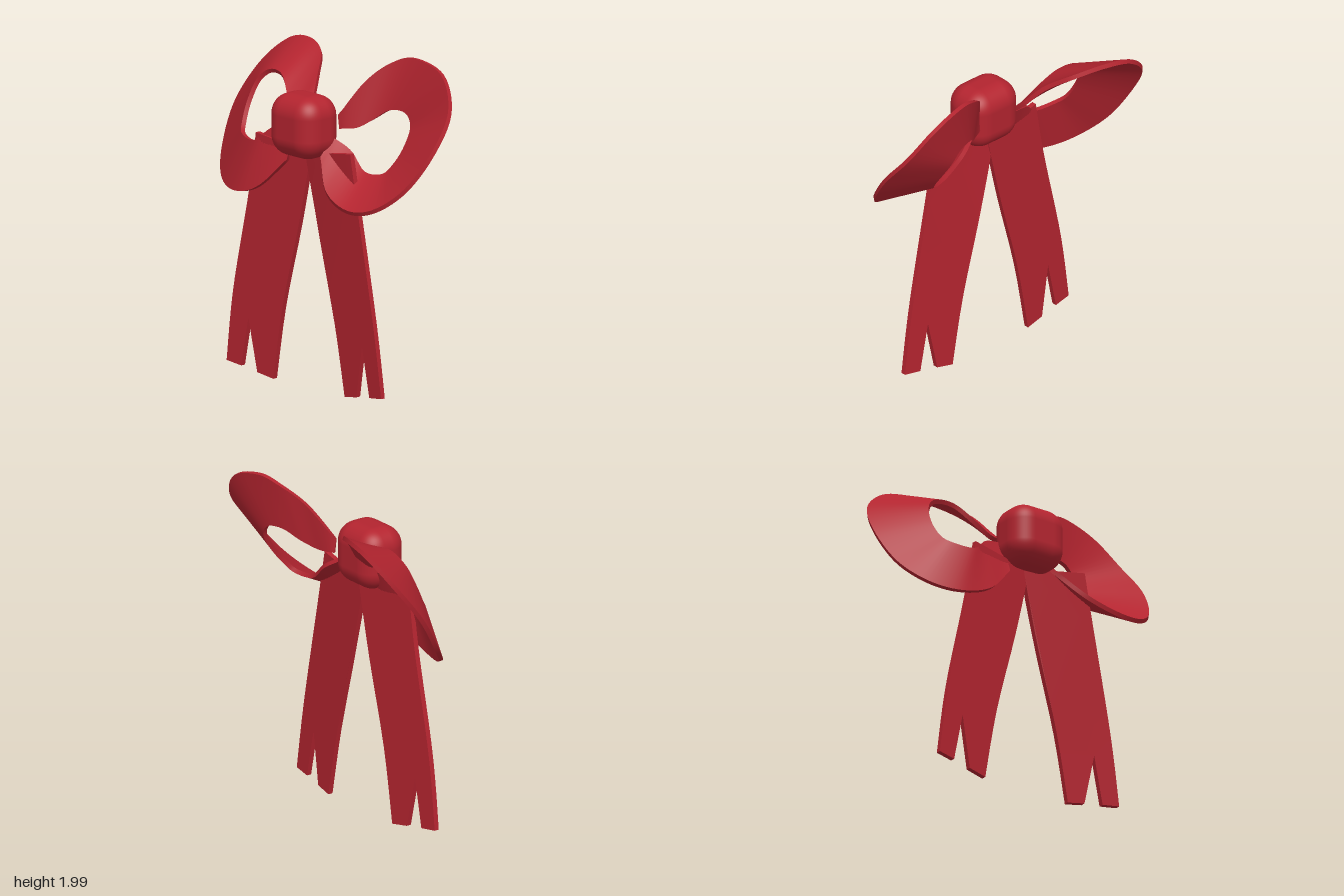
import * as THREE from 'three';
import { toCreasedNormals } from 'three/addons/utils/BufferGeometryUtils.js';
import { RoundedBoxGeometry } from 'three/addons/geometries/RoundedBoxGeometry.js';

const curve = (pts) => new THREE.CatmullRomCurve3(pts.map((p) => new THREE.Vector3(...p)), false, 'catmullrom', 0.5);

// Thick ribbon spanned between an outer and an inner edge curve
function ribbon(outerPts, innerPts, thickness = 0.026, steps = 72) {
  const outer = curve(outerPts), inner = curve(innerPts);
  const pos = [], index = [];
  for (let i = 0; i <= steps; i++) {
    const t = i / steps;
    const o = outer.getPoint(t), n = inner.getPoint(t);
    const across = n.clone().sub(o);
    const along = outer.getTangent(t).add(inner.getTangent(t));
    const half = along.cross(across).normalize().multiplyScalar(thickness / 2);
    for (const [p, s] of [[o, -1], [n, -1], [n, 1], [o, 1]]) {
      pos.push(...p.clone().addScaledVector(half, s).toArray());
    }
    if (i < steps) {
      for (let j = 0; j < 4; j++) {
        const a = i * 4 + j, b = i * 4 + (j + 1) % 4;
        index.push(a, b, a + 4, b, b + 4, a + 4);
      }
    }
  }
  const e = steps * 4;
  index.push(0, 2, 1, 0, 3, 2, e, e + 1, e + 2, e, e + 2, e + 3);
  const geo = new THREE.BufferGeometry();
  geo.setAttribute('position', new THREE.Float32BufferAttribute(pos, 3));
  geo.setIndex(index);
  return toCreasedNormals(geo, 0.8);
}

// Flat hanging tail with a V notch; outline is given by its two long edges
function tail(outerEdge, innerEdge, notch) {
  const v = (pts) => pts.map((p) => new THREE.Vector2(...p));
  const a = new THREE.SplineCurve(v(outerEdge)).getPoints(16);
  const b = new THREE.SplineCurve(v(innerEdge)).getPoints(16).reverse();
  const shape = new THREE.Shape([...a, ...v(notch), ...b]);
  const geo = new THREE.ExtrudeGeometry(shape, { depth: 0.03, bevelEnabled: false });
  // Turn the outer side a little towards the front
  const p = geo.attributes.position;
  for (let i = 0; i < p.count; i++) {
    const spread = Math.abs(p.getX(i)) - 0.12 - 0.33 * (1 - p.getY(i) / 1.45);
    p.setZ(i, p.getZ(i) + 0.13 + 0.1 * spread);
  }
  return toCreasedNormals(geo, 0.6);
}

export function createModel() {
  const group = new THREE.Group();
  group.name = 'bow';
  const red = new THREE.MeshStandardMaterial({ color: 0xb3242f });
  red.name = 'ribbon red';
  const add = (name, geo) => {
    const mesh = new THREE.Mesh(geo, red);
    mesh.name = name;
    group.add(mesh);
    return mesh;
  };

  // Centre knot
  add('knot', new RoundedBoxGeometry(0.37, 0.37, 0.3, 6, 0.12)).position.set(-0.02, 1.575, 0.18);

  // Left loop: inner edge set back behind the outer edge
  add('leftLoop', ribbon(
    [[0.14, 1.64, 0.06], [0.25, 1.85, -0.07], [0.37, 1.96, -0.17], [0.51, 1.995, -0.21], [0.72, 1.93, -0.22],
      [0.86, 1.75, -0.14], [0.895, 1.55, 0.02], [0.83, 1.34, 0.18], [0.69, 1.21, 0.3], [0.51, 1.18, 0.345],
      [0.3, 1.25, 0.31], [0.14, 1.41, 0.2]],
    [[0.14, 1.56, 0.05], [0.23, 1.57, 0], [0.3, 1.62, -0.07], [0.38, 1.68, -0.13], [0.48, 1.675, -0.16],
      [0.535, 1.6, -0.15], [0.55, 1.49, -0.08], [0.535, 1.4, -0.01], [0.49, 1.34, 0.04], [0.37, 1.34, 0.07],
      [0.25, 1.44, 0.06], [0.14, 1.51, 0.1]],
  ));

  // Right loop: inner edge pushed in front of the outer edge
  add('rightLoop', ribbon(
    [[-0.15, 1.65, -0.02], [-0.22, 1.78, -0.13], [-0.33, 1.87, -0.26], [-0.5, 1.905, -0.335], [-0.68, 1.87, -0.35],
      [-0.84, 1.72, -0.28], [-0.9, 1.5, -0.13], [-0.85, 1.27, 0.02], [-0.72, 1.13, 0.15], [-0.54, 1.095, 0.22],
      [-0.34, 1.16, 0.23], [-0.16, 1.34, 0.17]],
    [[-0.15, 1.57, 0.07], [-0.22, 1.59, 0.06], [-0.31, 1.67, 0.03], [-0.41, 1.76, -0.02], [-0.52, 1.765, -0.035],
      [-0.595, 1.7, -0.01], [-0.62, 1.58, 0.04], [-0.6, 1.47, 0.1], [-0.55, 1.42, 0.15], [-0.42, 1.41, 0.18],
      [-0.31, 1.5, 0.14], [-0.16, 1.54, 0.1]],
  ));

  // Tails
  add('leftTail', tail(
    [[0.37, 1.47], [0.42, 1.2], [0.555, 0.5], [0.62, 0.06]],
    [[-0.04, 1.4], [-0.02, 1.3], [0.075, 0.9], [0.2, 0.42], [0.28, 0.005]],
    [[0.51, 0.045], [0.45, 0.34], [0.39, 0.025]],
  ));
  add('rightTail', tail(
    [[-0.41, 1.46], [-0.47, 1.1], [-0.6, 0.5], [-0.66, 0.06]],
    [[0, 1.4], [-0.02, 1.3], [-0.1, 0.95], [-0.23, 0.45], [-0.31, 0.005]],
    [[-0.55, 0.045], [-0.49, 0.34], [-0.43, 0.025]],
  ));
  return group;
}
